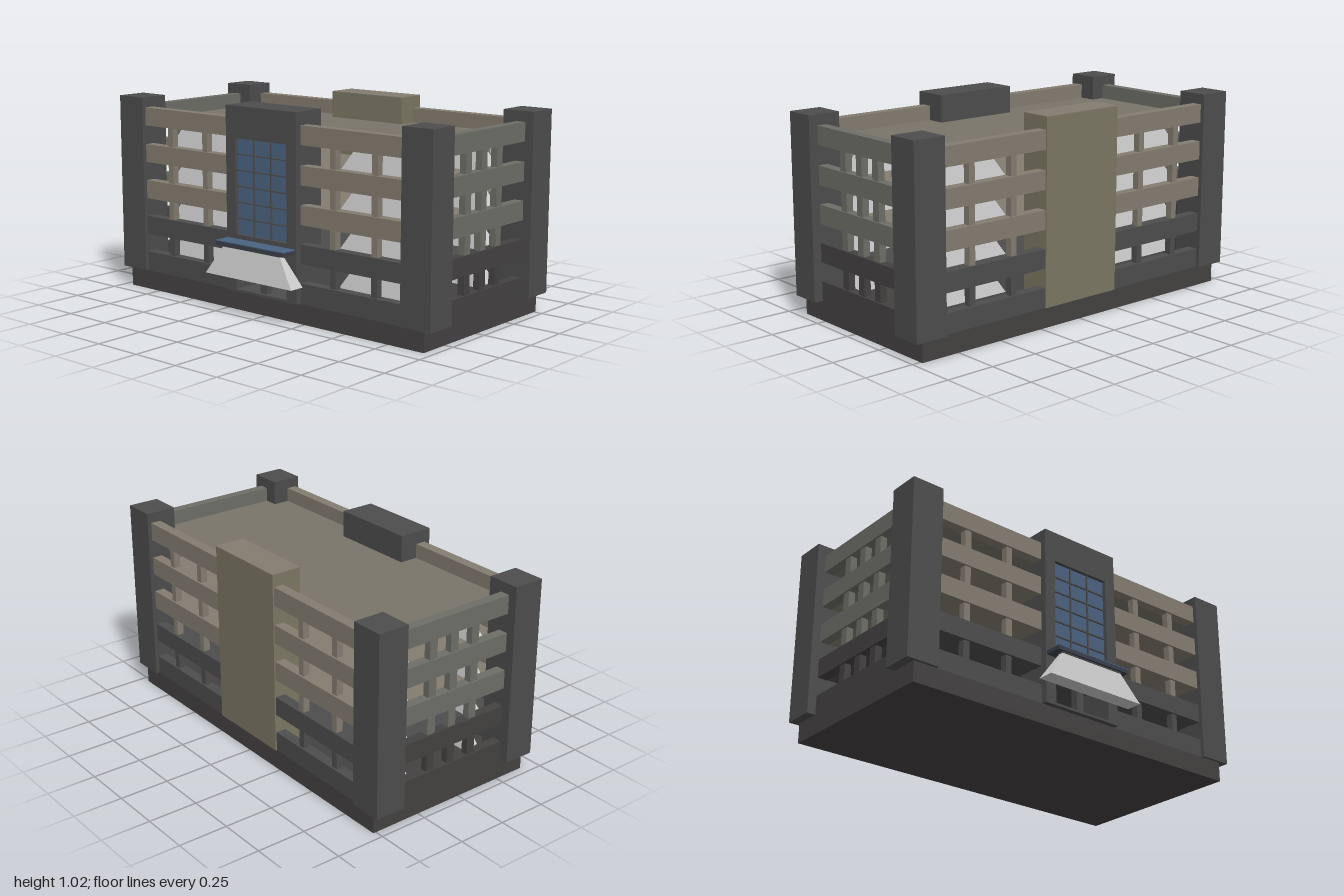
import * as THREE from 'three';

const mat = (color, extra = {}) => new THREE.MeshStandardMaterial({ color, ...extra });
const DARK = mat(0x4c4d4c), BASE = mat(0x444141), TAN = mat(0x847c70), SIDE = mat(0x6e6e68);
const ROOF = mat(0x79756a), OLIVE = mat(0x7b7763), GLASS = mat(0x4a6380), CANOPY = mat(0x3a3f4b);
const BEAM = mat(0xcccccc, { flatShading: true });

export function createModel() {
  const model = new THREE.Group();
  model.name = 'building';

  // Box given by its minimum and maximum on each axis
  const box = (name, material, x0, x1, y0, y1, z0, z1) => {
    const m = new THREE.Mesh(new THREE.BoxGeometry(x1 - x0, y1 - y0, z1 - z0), material);
    m.position.set((x0 + x1) / 2, (y0 + y1) / 2, (z0 + z1) / 2);
    m.name = name;
    model.add(m);
    return m;
  };
  // Same box on the left and the right
  const pair = (name, material, x0, x1, ...rest) => {
    box(name, material, x0, x1, ...rest);
    box(name, material, -x1, -x0, ...rest);
  };

  // Ceiling lamp: a dark strip with a flared block of light below it
  const lamp = (x, top, z) => {
    const h = 0.14;
    const g = new THREE.BoxGeometry(2, h, 2);
    const p = g.attributes.position;
    for (let i = 0; i < p.count; i++) {
      const up = p.getY(i) > 0;
      p.setX(i, p.getX(i) * (up ? 0.185 : 0.28));
      p.setZ(i, p.getZ(i) * (up ? 0.013 : 0.041));
    }
    g.computeVertexNormals();
    const light = new THREE.Mesh(g, BEAM);
    light.position.set(x, top - 0.006 - h / 2, z);
    light.name = 'lightBeam';
    model.add(light);
    box('lampStrip', DARK, x - 0.185, x + 0.185, top - 0.006, top, z - 0.016, z + 0.016);
  };

  // Plinth
  box('plinth', BASE, -0.955, 0.955, 0, 0.1, -0.515, 0.41);

  // Corner pillars
  for (const [z0, z1] of [[0.265, 0.425], [-0.535, -0.375]])
    pair('cornerPillar', DARK, 0.832, 1, 0.1, 1.005, z0, z1);

  // Wall bands, lowest first, with a floor slab inside each upper one
  const bands = [[0.1, 0.198], [0.292, 0.387], [0.48, 0.575], [0.67, 0.763], [0.86, 0.953]];
  bands.forEach(([y0, y1], i) => {
    const low = i < 2;
    pair('frontBand', low ? DARK : TAN, 0.22, 0.905, y0, y1, 0.352, 0.405);
    pair('backBand', low ? DARK : TAN, 0.22, 0.905, y0, y1, -0.515, -0.462);
    pair('sideBand', low ? BASE : SIDE, 0.905, 0.955, y0, y1, -0.462, 0.352);
    if (i > 0) box(i === 4 ? 'roof' : 'floorSlab', i === 4 ? ROOF : low ? DARK : TAN,
      -0.905, 0.905, y0 + 0.002, y0 + 0.02, -0.462, 0.352);
  });

  // Posts and lamps of each storey
  for (let i = 0; i < 4; i++) {
    const y0 = bands[i][1], y1 = bands[i + 1][0];
    for (const x of [0.415, 0.66]) {
      pair('frontPost', i ? TAN : DARK, x - 0.017, x + 0.017, y0, y1, 0.36, 0.395);
      pair('backPost', i ? TAN : DARK, x - 0.017, x + 0.017, y0, y1, -0.505, -0.47);
    }
    for (const z of [0.074, -0.052, -0.177])
      pair('sidePost', i ? SIDE : BASE, 0.912, 0.947, y0, y1, z - 0.022, z + 0.022);
    for (const x of [-0.58, 0.58])
      for (const z of [0.172, -0.275]) lamp(x, y1 + 0.002, z);
  }

  // Rear stair tower
  box('rearTower', OLIVE, -0.228, 0.228, 0.1, 1.012, -0.522, -0.365);
  box('rearTowerCap', TAN, -0.228, 0.228, 1.012, 1.016, -0.522, -0.365);

  // Entrance tower with openings for the window and the doorway
  const rect = (target, x, y0, y1) => {
    target.moveTo(-x, y0).lineTo(x, y0).lineTo(x, y1).lineTo(-x, y1).closePath();
    return target;
  };
  const face = rect(new THREE.Shape(), 0.226, 0.1, 1.017);
  face.holes.push(rect(new THREE.Path(), 0.165, 0.388, 0.86), rect(new THREE.Path(), 0.165, 0.112, 0.335));
  const tower = new THREE.Mesh(new THREE.ExtrudeGeometry(face, { depth: 0.18, bevelEnabled: false }), DARK);
  tower.position.z = 0.257;
  tower.name = 'entranceTower';
  model.add(tower);
  box('doorPost', DARK, -0.02, 0.02, 0.112, 0.335, 0.38, 0.42);

  // Tall window: glass and glazing bars
  box('windowGlass', GLASS, -0.165, 0.165, 0.388, 0.86, 0.405, 0.418);
  for (const x of [-0.055, 0.055]) box('windowBar', DARK, x - 0.003, x + 0.003, 0.388, 0.86, 0.418, 0.426);
  for (let i = 1; i < 6; i++) {
    const y = 0.388 + i * 0.472 / 6;
    box('windowBar', DARK, -0.165, 0.165, y - 0.003, y + 0.003, 0.418, 0.425);
  }

  // Canopy with its lamp
  box('canopy', CANOPY, -0.22, 0.22, 0.342, 0.362, 0.43, 0.522);
  box('canopyTop', GLASS, -0.22, 0.22, 0.362, 0.366, 0.43, 0.522);
  lamp(0, 0.342, 0.494);

  return model;
}
